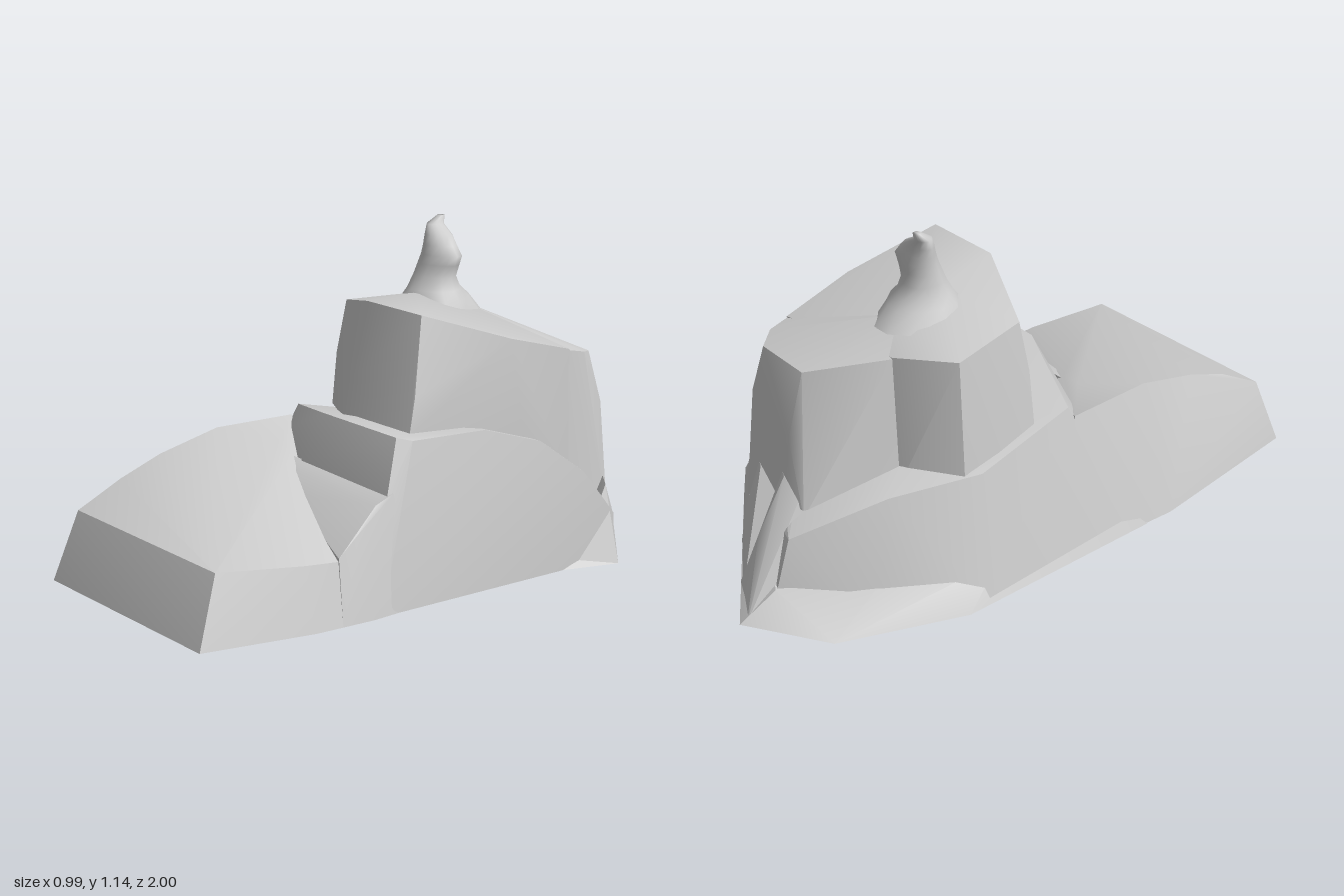
import * as THREE from 'three';
import { toCreasedNormals } from 'three/addons/utils/BufferGeometryUtils.js';
import { ConvexGeometry } from 'three/addons/geometries/ConvexGeometry.js';

const stone = new THREE.MeshStandardMaterial({ color: 0xcccccc });
stone.name = 'stone grey';

// The underside is tilted, with a shallow fold near the front
const ground = (x, z) => Math.max(0, Math.min(
  0.055 + 0.022 * z + 0.01 * x,
  0.055 + 0.055 * z + 0.06 * x
));

// A faceted boulder: ground corners as [x, z], upper corners as [x, y, z]
function boulder(name, feet, corners) {
  const points = feet.map(([x, z]) => new THREE.Vector3(x, ground(x, z), z));
  corners.forEach((c) => points.push(new THREE.Vector3(...c)));
  const mesh = new THREE.Mesh(toCreasedNormals(new ConvexGeometry(points), 0.55), stone);
  mesh.name = name;
  return mesh;
}

// A closed smooth loft through rings given as [y, xMin, xMax, zMin, zMax]
function spire(name, rings, sides = 14) {
  const positions = [], index = [];
  rings.forEach(([y, x0, x1, z0, z1], r) => {
    for (let i = 0; i < sides; i++) {
      const a = (i / sides) * Math.PI * 2;
      const bump = 1 + 0.08 * Math.sin(a * 3 + r * 0.5);
      positions.push(
        (x0 + x1) / 2 + ((x1 - x0) / 2) * Math.cos(a) * bump,
        y,
        (z0 + z1) / 2 + ((z1 - z0) / 2) * Math.sin(a) * bump
      );
      if (r > 0) {
        const j = (i + 1) % sides, b = (r - 1) * sides, t = r * sides;
        index.push(b + i, t + i, b + j, b + j, t + i, t + j);
      }
    }
  });
  // cap the tip
  const top = (rings.length - 1) * sides;
  for (let i = 1; i < sides - 1; i++) index.push(top, top + i + 1, top + i);
  const geo = new THREE.BufferGeometry();
  geo.setAttribute('position', new THREE.Float32BufferAttribute(positions, 3));
  geo.setIndex(index);
  geo.computeVertexNormals();
  const mesh = new THREE.Mesh(geo, stone);
  mesh.name = name;
  return mesh;
}

export function createModel() {
  const model = new THREE.Group();
  model.name = 'rockFormation';

  // Sloping slab that forms the front of the rock
  model.add(boulder('frontSlab',
    [[-0.43, 0.97], [0.43, 1], [0.485, 0.62], [0.485, 0.46], [-0.495, 0.4], [-0.46, 0]],
    [[-0.37, 0.48, 0.08], [-0.37, 0.485, 0.38], [-0.37, 0.435, 0.6], [-0.37, 0.38, 0.75],
      [-0.385, 0.3, 0.9], [-0.2, 0.46, 0.25], [-0.1, 0.435, 0.28], [0, 0.385, 0.64],
      [0.37, 0.29, 0.9], [0.43, 0.27, 0.62], [0.435, 0.26, 0.5]]));

  // Low skirt around the back
  model.add(boulder('backSkirt',
    [[-0.03, -1], [-0.3, -0.84], [-0.46, -0.43], [-0.49, 0.3], [0.3, 0], [0.44, -0.4], [0.49, -0.6]],
    [[-0.42, 0.12, -0.28], [-0.44, 0.15, 0.2], [-0.25, 0.11, -0.6], [-0.06, 0.09, -0.88],
      [0.4, 0.12, -0.58], [0.3, 0.1, 0]]));

  // Broad lower tier
  model.add(boulder('lowerTier',
    [[-0.46, -0.35], [-0.48, 0.25], [0.475, 0.36], [0.45, 0], [0.44, -0.4],
      [0.43, -0.64], [-0.05, -0.89], [-0.28, -0.65]],
    [[-0.36, 0.515, 0.06], [-0.02, 0.578, 0.21], [0.36, 0.58, 0.22], [0.39, 0.57, 0.18],
      [0.4, 0.56, -0.1], [0.415, 0.49, -0.32], [0.425, 0.36, -0.5], [0.43, 0.2, -0.63],
      [0.405, 0.42, 0.29], [-0.05, 0.42, 0.28], [-0.3, 0.46, 0.14], [-0.365, 0.42, -0.3],
      [-0.07, 0.26, -0.83], [-0.225, 0.37, -0.56], [-0.17, 0.42, -0.47]]));

  // Step between the lower tier and the slab
  model.add(boulder('frontStep',
    [[0.485, 0.4], [0.485, 0.52], [0.46, 0.2], [0, 0.2], [0, 0.4]],
    [[-0.1, 0.43, 0.27], [0.41, 0.425, 0.27], [0.412, 0.4, 0.34], [-0.05, 0.41, 0.32],
      [0.43, 0.33, 0.42], [0.438, 0.27, 0.5], [0.05, 0.36, 0.39]]));

  // Upper tier: front block rising gently to the spire
  model.add(boulder('upperFrontBlock', [],
    [[-0.305, 0.855, -0.1], [0, 0.922, 0.05], [0.27, 0.922, 0.05], [0.35, 0.82, -0.25],
      [0.345, 0.75, -0.5], [-0.12, 0.78, -0.45], [-0.305, 0.8, -0.34],
      [-0.05, 0.91, -0.2], [-0.04, 0.865, -0.36],
      [-0.32, 0.68, -0.07], [0, 0.68, 0.12], [0.32, 0.68, 0.115],
      [-0.345, 0.5, -0.07], [0, 0.56, 0.15], [0.335, 0.56, 0.15], [0.355, 0.5, -0.3],
      [0.36, 0.3, -0.5], [-0.17, 0.36, -0.47], [-0.335, 0.4, -0.345]]));

  // Upper tier: rear block sloping down to the back
  model.add(boulder('upperRearBlock', [],
    [[-0.04, 0.865, -0.36], [0.345, 0.75, -0.48], [0.34, 0.73, -0.57], [0.29, 0.715, -0.635],
      [0.08, 0.715, -0.645], [-0.12, 0.775, -0.45], [0.33, 0.55, -0.655], [0.08, 0.5, -0.705],
      [0.365, 0.2, -0.66], [0.3, 0.2, -0.715], [0.06, 0.25, -0.745], [-0.03, 0.28, -0.74],
      [-0.17, 0.38, -0.47], [0.36, 0.3, -0.48]]));

  // Broken shards leaning on the back corner
  const shards = [
    { peak: [0.05, 0.4, -0.75], feet: [[-0.04, -0.98], [0.14, -0.87], [0.2, -0.66], [-0.06, -0.72]], side: [0.06, 0.22, -0.85] },
    { peak: [0.2, 0.36, -0.73], feet: [[0.1, -0.89], [0.31, -0.74], [0.34, -0.62], [0.08, -0.68]], side: [0.22, 0.22, -0.78] },
    { peak: [0.35, 0.31, -0.65], feet: [[0.25, -0.78], [0.49, -0.6], [0.44, -0.46], [0.2, -0.6]], side: [0.39, 0.2, -0.66] },
  ];
  shards.forEach(({ peak, feet, side }, i) => {
    const [x, y, z] = peak;
    model.add(boulder('backShard' + (i + 1), feet,
      [peak, [x - 0.07, y - 0.06, z], [x + 0.05, y - 0.02, z + 0.03], side]));
  });

  // Crooked spire on the summit
  model.add(spire('spire', [
    [0.83, -0.17, 0.1, -0.42, -0.12],
    [0.89, -0.145, 0.075, -0.375, -0.15],
    [0.92, -0.127, 0.045, -0.35, -0.175],
    [0.96, -0.118, 0.025, -0.335, -0.2],
    [1.0, -0.115, 0.038, -0.33, -0.215],
    [1.03, -0.113, 0.046, -0.33, -0.225],
    [1.06, -0.112, 0.022, -0.325, -0.235],
    [1.09, -0.112, -0.005, -0.322, -0.245],
    [1.12, -0.112, -0.06, -0.322, -0.265],
    [1.145, -0.095, -0.07, -0.328, -0.305],
  ]));

  return model;
}
